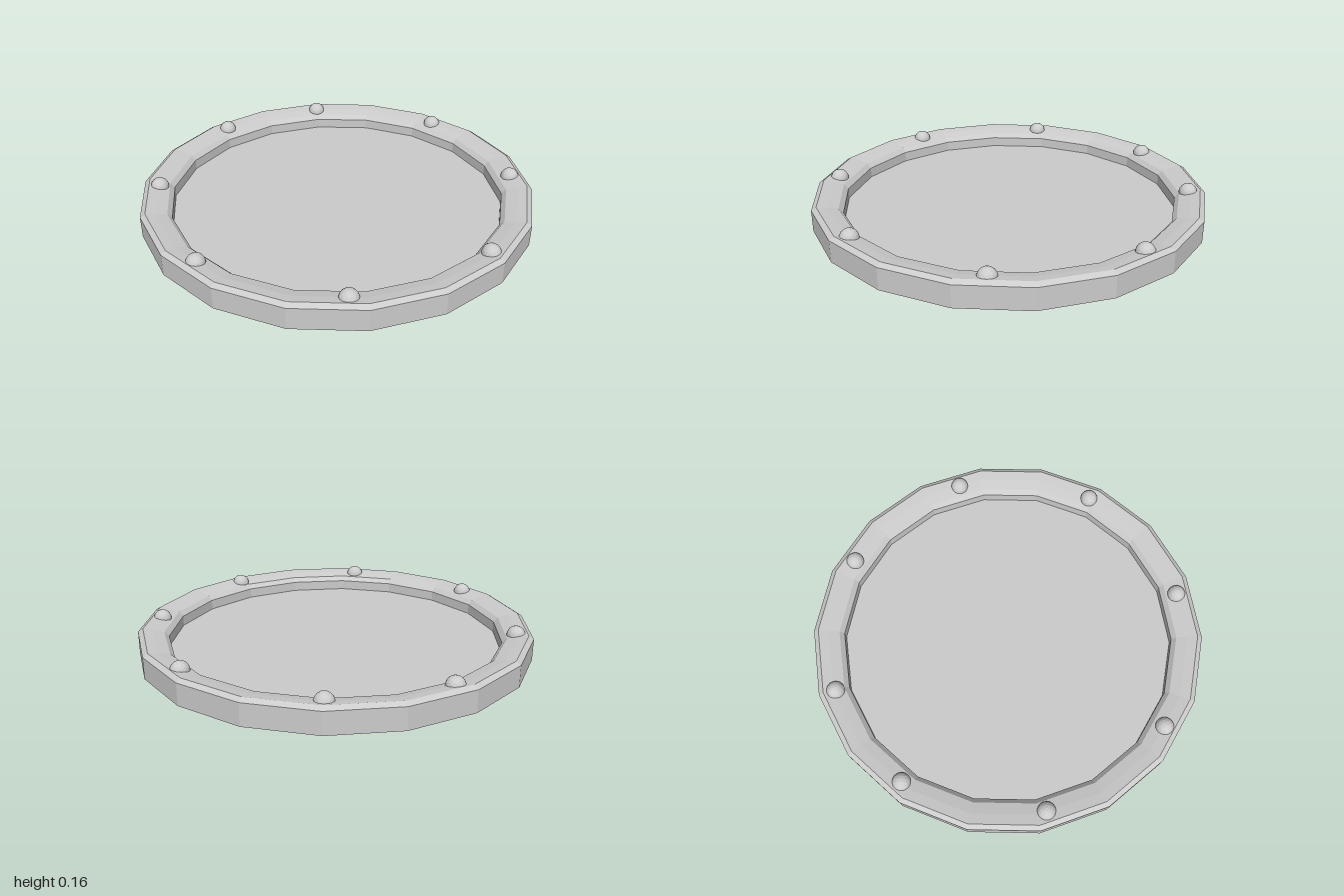
import * as THREE from 'three';

const SIDES = 18;
const material = new THREE.MeshStandardMaterial({ color: 0xcccccc, flatShading: true });

// Faceted ring or disc turned from a list of [radius, height] points
function turned(name, profile) {
  const points = profile.map(([r, y]) => new THREE.Vector2(r, y));
  const mesh = new THREE.Mesh(new THREE.LatheGeometry(points, SIDES), material);
  mesh.name = name;
  return mesh;
}

export function createModel() {
  const model = new THREE.Group();
  model.name = 'studdedTray';

  // Flat underside, raised bevelled rim with an inward slope, inner wall
  model.add(turned('base', [[0, 0], [1, 0]]));
  model.add(turned('rim', [
    [1, 0], [1, 0.11], [0.975, 0.125], [0.925, 0.117],
    [0.87, 0.104], [0.848, 0.08], [0.848, 0.028],
  ]));
  model.add(turned('floor', [[0.848, 0.028], [0, 0.028]]));

  // Round studs set into the rim, angles in degrees from +x towards +z
  const studGeometry = new THREE.IcosahedronGeometry(0.046, 2);
  const studs = new THREE.Group();
  studs.name = 'studs';
  for (const degrees of [28.3, 74.7, 121, 167.3, 213, 249.8, 296, 342]) {
    const a = THREE.MathUtils.degToRad(degrees);
    const stud = new THREE.Mesh(studGeometry, material);
    stud.name = 'stud';
    stud.position.set(0.914 * Math.cos(a), 0.111, 0.914 * Math.sin(a));
    stud.rotation.y = -a;
    studs.add(stud);
  }
  model.add(studs);
  return model;
}
